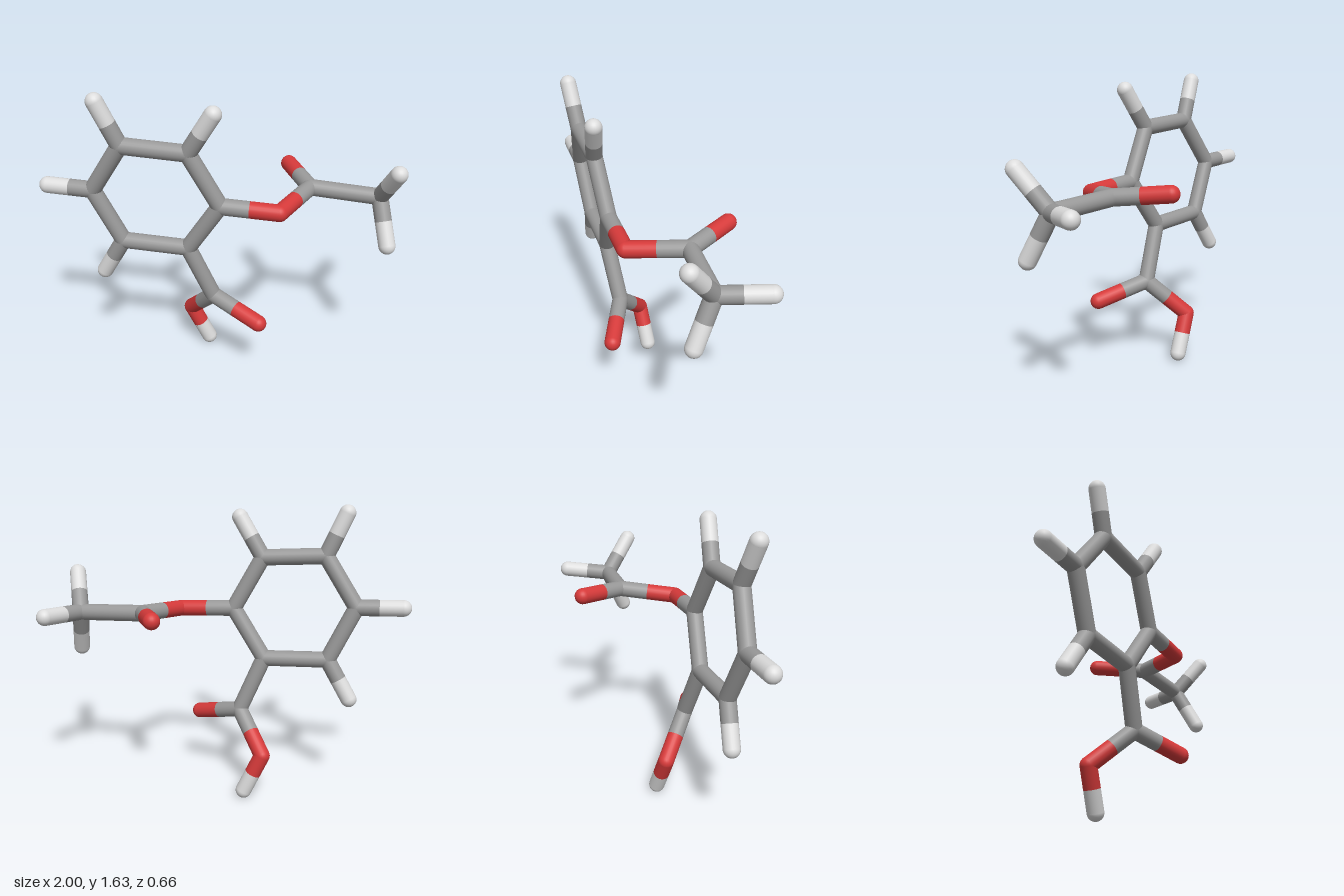
import * as THREE from 'three';

const RADIUS = 0.045;

// Atom centres, grouped by element through the first letter of the key
const ATOMS = {
  // six-sided ring
  C1: [-0.05, 1.05, 0.18], C2: [-0.22, 0.775, 0.105], C3: [-0.57, 0.79, 0.02],
  C4: [-0.715, 1.09, 0.01], C5: [-0.55, 1.36, 0.09], C6: [-0.21, 1.34, 0.17],
  H3: [-0.69, 0.575, -0.035], H4: [-0.955, 1.10, -0.05],
  H5: [-0.655, 1.59, 0.09], H6: [-0.085, 1.555, 0.23],
  // right arm
  O1: [0.25, 1.035, 0.25], C7: [0.45, 1.065, 0.0], O2: [0.375, 1.094, -0.285],
  C8: [0.805, 1.047, 0.11],
  H7: [0.84, 1.24, 0.275], H8: [0.835, 0.812, 0.23], H9: [0.955, 1.068, -0.10],
  // lower arm
  C9: [-0.085, 0.465, 0.10], O3: [0.15, 0.385, 0.283],
  O4: [-0.205, 0.262, -0.103], H10: [-0.103, 0.046, -0.10],
};

const BONDS = {
  ring: ['C1 C2', 'C2 C3', 'C3 C4', 'C4 C5', 'C5 C6', 'C6 C1'],
  ringHydrogen: ['C3 H3', 'C4 H4', 'C5 H5', 'C6 H6'],
  rightArm: ['C1 O1', 'O1 C7', 'C7 O2', 'C7 C8', 'C8 H7', 'C8 H8', 'C8 H9'],
  lowerArm: ['C2 C9', 'C9 O3', 'C9 O4', 'O4 H10'],
};

export function createModel() {
  const model = new THREE.Group();
  model.name = 'stickMolecule';

  const makeMaterial = (name, color) => {
    const material = new THREE.MeshStandardMaterial({ color });
    material.name = name;
    return material;
  };
  const materials = {
    C: makeMaterial('carbonGrey', 0x999999),
    H: makeMaterial('hydrogenWhite', 0xdcdcdc),
    O: makeMaterial('oxygenRed', 0xd63a3a),
  };
  const elementNames = { C: 'carbon', H: 'hydrogen', O: 'oxygen' };
  const position = (key) => new THREE.Vector3(...ATOMS[key]);
  const up = new THREE.Vector3(0, 1, 0);

  // Round joint or tip at every atom
  const ball = new THREE.SphereGeometry(RADIUS, 24, 16);
  const joints = new THREE.Group();
  joints.name = 'joints';
  for (const key of Object.keys(ATOMS)) {
    const joint = new THREE.Mesh(ball, materials[key[0]]);
    joint.name = `${elementNames[key[0]]}Joint`;
    joint.position.copy(position(key));
    joints.add(joint);
  }
  model.add(joints);

  // Open rod from one point to another
  const rod = (from, to, element) => {
    const direction = to.clone().sub(from);
    const geometry = new THREE.CylinderGeometry(RADIUS, RADIUS, direction.length(), 24, 1, true);
    const mesh = new THREE.Mesh(geometry, materials[element]);
    mesh.name = `${elementNames[element]}Rod`;
    mesh.position.copy(from).lerp(to, 0.5);
    mesh.quaternion.setFromUnitVectors(up, direction.normalize());
    return mesh;
  };

  // Each bond is one rod, or two half rods where the colour changes
  for (const [name, bonds] of Object.entries(BONDS)) {
    const group = new THREE.Group();
    group.name = `${name}Bonds`;
    for (const bond of bonds) {
      const [a, b] = bond.split(' ');
      const start = position(a), end = position(b);
      if (a[0] === b[0]) {
        group.add(rod(start, end, a[0]));
      } else {
        const middle = start.clone().lerp(end, 0.5);
        group.add(rod(start, middle, a[0]), rod(middle, end, b[0]));
      }
    }
    model.add(group);
  }
  return model;
}
